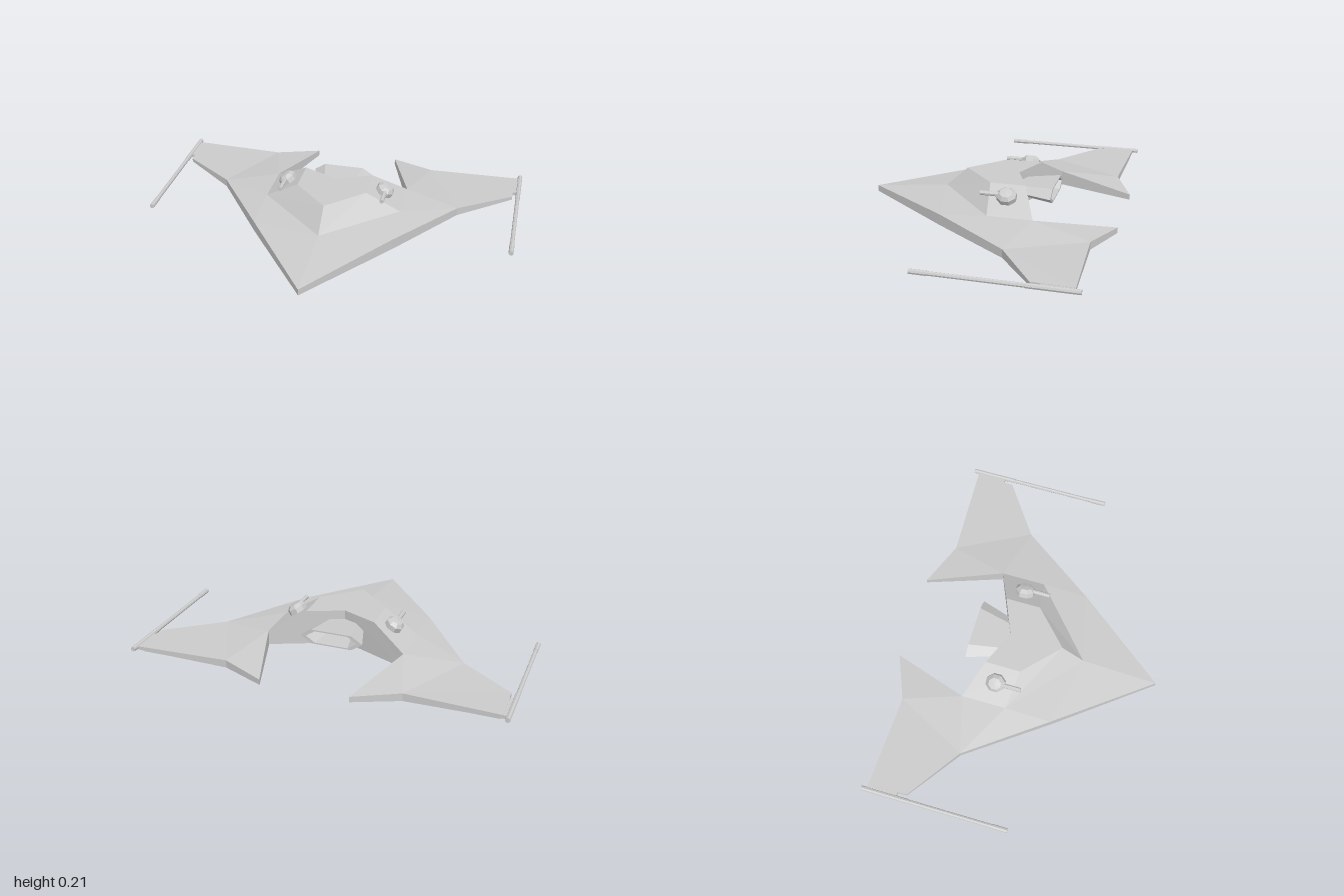
import * as THREE from 'three';

const grey = new THREE.MeshStandardMaterial({ color: 0xcccccc, flatShading: true, side: THREE.DoubleSide });

function mesh(name, geometry, parent) {
  const m = new THREE.Mesh(geometry, grey);
  m.name = name;
  parent.add(m);
  return m;
}

// Flat polygons (lists of [x, y, z] corners) to a faceted geometry
function faceted(polygons) {
  const pos = [];
  for (const p of polygons)
    for (let i = 1; i < p.length - 1; i++) pos.push(...p[0], ...p[i], ...p[i + 1]);
  const g = new THREE.BufferGeometry();
  g.setAttribute('position', new THREE.Float32BufferAttribute(pos, 3));
  g.computeVertexNormals();
  return g;
}

// Named corners of one half; both halves are made by mirroring
const pts = {
  N: [0, 0.045, 0.69], M: [0.375, 0.07, 0.2], W: [0.67, 0.055, -0.21],
  T: [0.955, 0.05, -0.41], E: [0.96, 0.05, -0.62], R: [0.47, 0.052, -0.6],
  S: [0.235, 0.04, -0.7], K: [0.375, 0.09, -0.29], C: [0.375, 0.09, -0.05],
  F: [0, 0.09, 0.28], V: [0, 0.2, -0.13], P: [0, 0.2, 0.16],
  Q: [0.19, 0.2, -0.02], U: [0.19, 0.2, -0.21],
};
// Lower case letters are the underside corners below the upper case ones
for (const k of 'NMWTERSKV')
  pts[k.toLowerCase()] = [pts[k][0], 'TE'.includes(k) ? 0.03 : 0.01, pts[k][2]];

function mirrored(faces) {
  const half = faces.map(f => [...f].map(k => pts[k]));
  const other = half.map(p => p.map(([x, y, z]) => [-x, y, z]).reverse());
  return faceted([...half, ...other]);
}

// Straight bar of rectangular section between two points
function bar(name, a, b, w, h, parent) {
  const A = new THREE.Vector3(...a), B = new THREE.Vector3(...b);
  const m = mesh(name, new THREE.BoxGeometry(w, h, A.distanceTo(B)), parent);
  m.position.copy(A).lerp(B, 0.5);
  m.lookAt(B);
}

// Cylinder lying along z
function rod(name, r, z0, z1, x, y, parent) {
  const g = new THREE.CylinderGeometry(r, r, z1 - z0, 8).rotateX(Math.PI / 2);
  mesh(name, g, parent).position.set(x, y, (z0 + z1) / 2);
}

// Hollow hexagonal exhaust, lofted from rings
function exhaustGeometry() {
  const hex = [[0.17, 0], [0.11, 0.04], [-0.11, 0.04], [-0.17, 0], [-0.11, -0.04], [0.11, -0.04]];
  const rings = [[-0.13, 0.62], [-0.335, 1], [-0.335, 0.82], [-0.22, 0.62]]
    .map(([z, s]) => hex.map(([x, y]) => [x * s, 0.125 + y * s, z]));
  const faces = [];
  for (let r = 0; r < rings.length - 1; r++)
    for (let i = 0; i < 6; i++) {
      const j = (i + 1) % 6;
      faces.push([rings[r][i], rings[r + 1][i], rings[r + 1][j], rings[r][j]]);
    }
  faces.push([...rings[3]].reverse());
  return faceted(faces);
}

function addTurret(s, parent) {
  const turret = new THREE.Group();
  turret.name = 'turret';
  turret.position.set(s * 0.275, 0.165, -0.13);
  turret.rotation.z = -s * 0.53;
  const profile = [[0, -0.035], [0.035, -0.032], [0.054, -0.014], [0.054, 0.014], [0.035, 0.032], [0, 0.035]]
    .map(p => new THREE.Vector2(...p));
  const dome = mesh('turretBody', new THREE.LatheGeometry(profile, 8).rotateY(Math.PI / 8), turret);
  dome.scale.x = 0.92;
  rod('turretBarrel', 0.012, 0.03, 0.14, 0, 0.012, turret);
  parent.add(turret);
}

function addWingGun(s, parent) {
  const gun = new THREE.Group();
  gun.name = 'wingGun';
  const x = s * 0.986, y = 0.045;
  rod('gunBreech', 0.013, -0.65, -0.4, x, y, gun);
  rod('gunBarrel', 0.011, -0.4, 0.06, x, y, gun);
  rod('gunMuzzle', 0.013, 0.06, 0.145, x, y, gun);
  bar('gunMount', [s * 0.967, 0.04, -0.62], [s * 0.967, 0.04, -0.46], 0.028, 0.018, gun);
  parent.add(gun);
}

// Fan of slats under the outer wing, converging toward the tip
function addVents(s, parent) {
  const vents = new THREE.Group();
  vents.name = 'wingVents';
  const n = 8;
  for (let i = 0; i < n; i++) {
    const t = i / (n - 1);
    const inner = [s * (0.67 - 0.15 * t), 0.007, -0.25 - 0.32 * t];
    const outer = [s * 0.945, 0.027, -0.425 - 0.18 * t];
    bar('ventSlat', inner, outer, 0.012, 0.012, vents);
  }
  bar('ventEdge', [s * 0.67, 0.006, -0.245], [s * 0.52, 0.006, -0.575], 0.014, 0.012, vents);
  parent.add(vents);
}

export function createModel() {
  const ship = new THREE.Group();
  ship.name = 'ship';

  // Delta hull: upper skin, rim walls and underside
  mesh('hull', mirrored([
    'NMF', 'FMC', 'MWC', 'CWK', 'WRK', 'KRS', 'WTER',
    'nmMN', 'mwWM', 'wtTW', 'teET', 'erRE', 'rsSR', 'skKS',
    'nvkm', 'mkw', 'wkr', 'ksr', 'wret',
  ]), ship);

  // Raised deck with its rear wall
  mesh('deckhouse', mirrored(['FCQP', 'CKUQ', 'PQUV', 'vVUKk']), ship);
  mesh('exhaust', exhaustGeometry(), ship);

  for (const s of [1, -1]) {
    addTurret(s, ship);
    addWingGun(s, ship);
    addVents(s, ship);
  }
  return ship;
}
